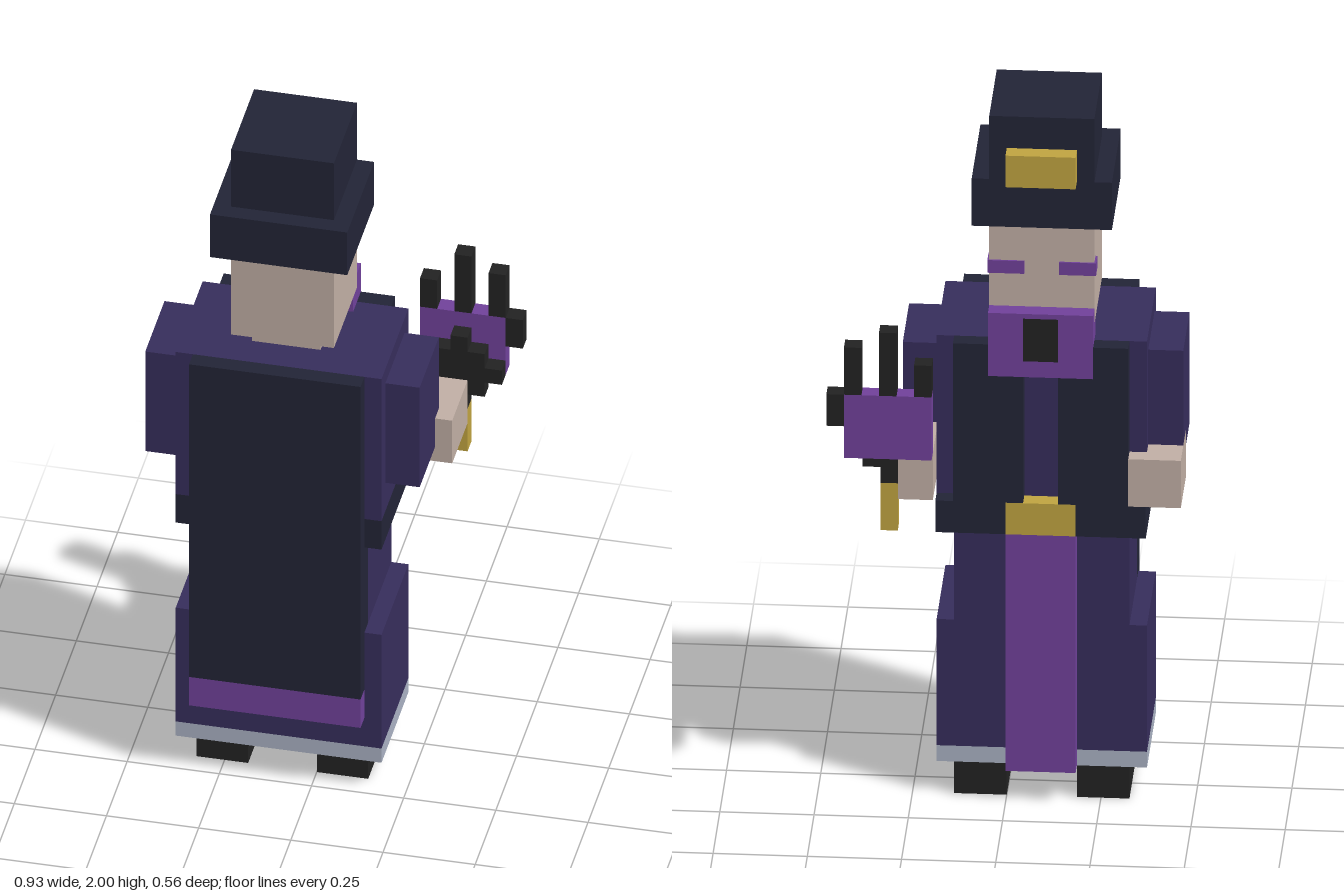
import * as THREE from 'three';

const U = 2 / 43; // one block of the voxel grid

const mat = (name, color) => {
  const m = new THREE.MeshStandardMaterial({ color });
  m.name = name;
  return m;
};

export function createModel() {
  const model = new THREE.Group();
  model.name = 'hattedFigure';

  const navy = mat('navyCloth', 0x222436);
  const robe = mat('indigoRobe', 0x362d5b);
  const violet = mat('violet', 0x70419a);
  const skin = mat('skin', 0xc0aea4);
  const gold = mat('gold', 0xbfa340);
  const black = mat('black', 0x222222);
  const pale = mat('paleHem', 0xa9b1c2);

  // Box given by its limits in grid blocks
  const box = (name, m, x0, x1, y0, y1, z0, z1, parent = model) => {
    const mesh = new THREE.Mesh(
      new THREE.BoxGeometry((x1 - x0) * U, (y1 - y0) * U, (z1 - z0) * U), m);
    mesh.position.set((x0 + x1) / 2 * U, (y0 + y1) / 2 * U, (z0 + z1) / 2 * U);
    mesh.name = name;
    parent.add(mesh);
  };
  // The same box on both sides of the body's middle, x = -2
  const pair = (name, m, x0, x1, ...rest) => {
    box(name + 'A', m, x0, x1, ...rest);
    box(name + 'B', m, -4 - x1, -4 - x0, ...rest);
  };

  // Hat
  box('hatCrown', navy, -5, 1, 39, 43, -2, 4);
  box('hatBrim', navy, -6, 2, 36, 39, -2, 5);
  box('hatBadge', gold, -4, 0, 39, 41, -3, -2);

  // Head, eyes and neck
  box('head', skin, -5, 1, 30, 36, -2, 4);
  pair('eye', violet, -1, 1.1, 33.1, 33.9, -2.1, -1.9);
  pair('eyeSide', violet, 0.95, 1.1, 33.1, 33.9, -1.9, -1.1);
  box('neck', skin, -4, 0, 29, 30, -1, 3);

  // Beard with dark mouth
  pair('beardSide', violet, -1, 1, 28, 31, -3, -2);
  box('beardTip', violet, -5, 1, 27, 28, -3, -2);
  box('mouth', black, -3, -1, 28, 30.7, -3, -2);
  box('mouthTop', violet, -3, -1, 30.7, 31, -3, -2);
  box('beardRoot', violet, -5, 1, 29, 30, -2, -1);

  // Torso, open jacket and belt
  box('torso', robe, -8, 4, 19, 29, -2, 5);
  pair('lapelOuter', navy, 1, 3, 19, 29, -3, -2);
  pair('lapelInner', navy, -1, 1, 19, 27, -3, -2);
  box('belt', navy, -8, 4, 17, 19, -2, 5);
  pair('beltFront', navy, 0, 4, 17, 19, -3, -2);
  box('buckle', gold, -4, 0, 17, 19, -3, -2);

  // Cape
  box('cape', navy, -7, 3, 7, 29, 5, 6);
  box('capeStripe', violet, -7, 3, 5, 7, 5, 6);
  box('capeLining', navy, -7, 3, 11, 17, 4, 5);

  // Robe skirt, sash and feet
  box('upperSkirt', robe, -7, 3, 11, 17, -2, 4);
  box('lowerSkirt', robe, -8, 4, 3, 11, -2, 5);
  box('hem', pale, -8, 4, 2, 3, -2, 5);
  box('sash', violet, -4, 0, 2, 17, -3, -2);
  pair('foot', black, 0, 3, 0, 2, -2, 4);

  // Arms and hands
  pair('sleeve', robe, 4, 6, 21, 28, -1, 4);
  box('restingHand', skin, -10, -8, 19, 22, -3, 1);
  box('restingThumb', skin, -8, -7, 19, 22, -3, -2.02);
  box('staffHand', skin, 4, 7, 20, 23, -4, 0);
  box('staffFingers', skin, 4, 6, 20, 23, -5, -4);

  // Staff: gold grip, stepped black holder, violet palm and claws
  const staff = new THREE.Group();
  staff.name = 'staff';
  model.add(staff);
  box('grip', gold, 6, 7, 18, 21, -5, -4, staff);
  [[5, 23, 25], [6, 21, 26], [7, 22, 25], [8, 23, 24]].forEach(([x, y0, y1]) =>
    box('holder', black, x, x + 1, y0, y1, -5, -4, staff));
  box('palm', violet, 4, 9, 23, 27, -6, -5, staff);
  [[4, 27, 29], [6, 27, 31], [8, 27, 30], [9, 25, 27]].forEach(([x, y0, y1]) =>
    box('claw', black, x, x + 1, y0, y1, -6, -5, staff));

  return model;
}
